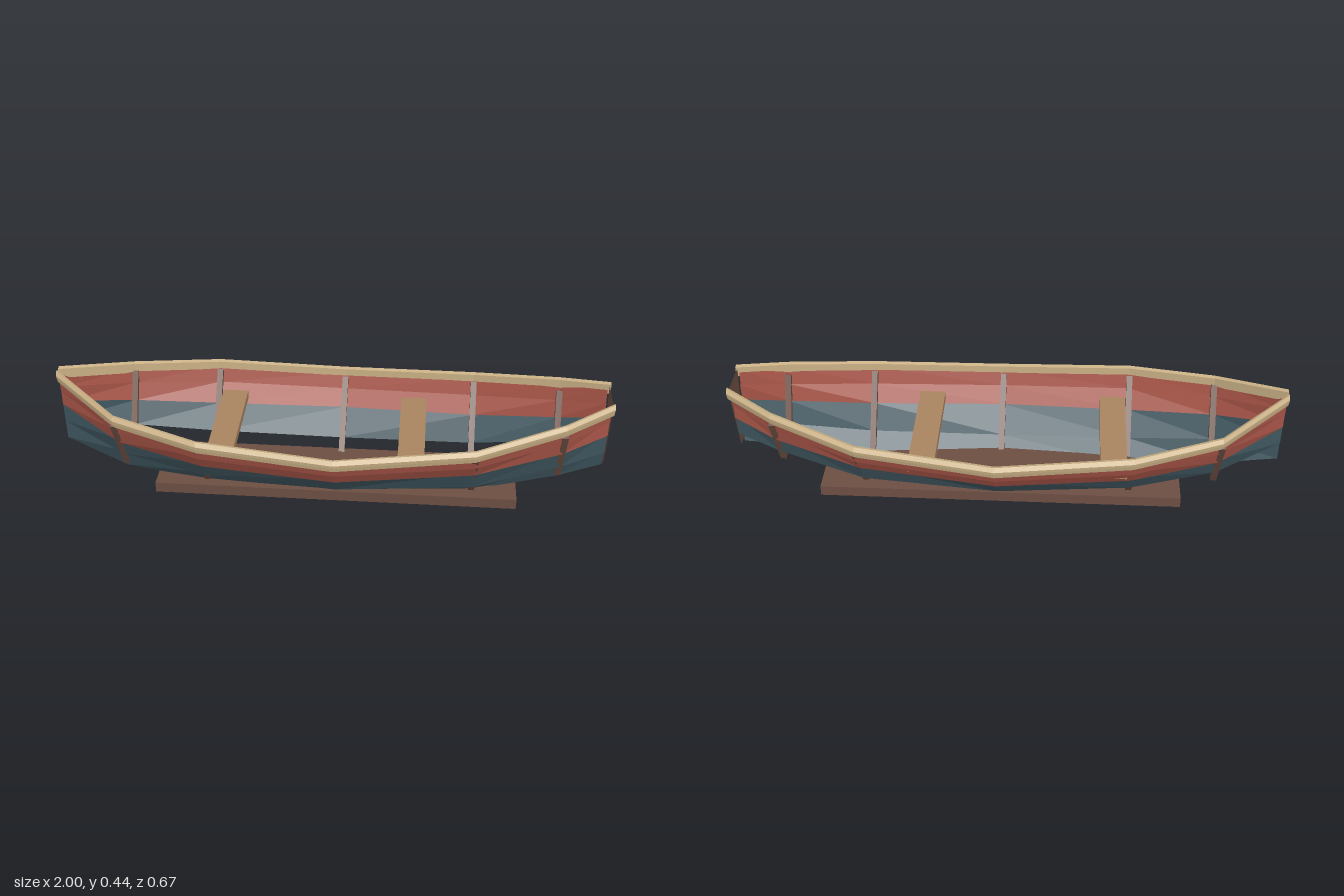
import * as THREE from 'three';

// Hull stations along x; each row is [z, y] from the top edge down to the keel edge
const stations = [
  { x: -0.995, p: [[0.012, 0.415], [0.010, 0.35], [0.008, 0.29], [0.004, 0.215], [0.001, 0.14]] },
  { x: -0.76, p: [[0.19, 0.345], [0.175, 0.285], [0.145, 0.225], [0.10, 0.145], [0.055, 0.065]] },
  { x: -0.45, p: [[0.285, 0.315], [0.265, 0.25], [0.215, 0.185], [0.15, 0.10], [0.08, 0.028]] },
  { x: 0.03, p: [[0.318, 0.285], [0.297, 0.225], [0.252, 0.168], [0.172, 0.08], [0.08, 0.002]] },
  { x: 0.52, p: [[0.265, 0.315], [0.245, 0.25], [0.20, 0.19], [0.145, 0.10], [0.06, 0.028]] },
  { x: 0.83, p: [[0.16, 0.37], [0.145, 0.305], [0.122, 0.245], [0.085, 0.165], [0.045, 0.10]] },
  { x: 0.99, p: [[0.072, 0.41], [0.065, 0.35], [0.058, 0.29], [0.04, 0.205], [0.01, 0.135]] },
];

function mat(name, color, thin) {
  const m = new THREE.MeshStandardMaterial({ color, flatShading: true });
  m.name = name;
  if (thin) m.side = THREE.DoubleSide;
  return m;
}

// Skin a list of rings (arrays of Vector3); closed rings get end caps
function loft(rings, closed, flip) {
  const v = [];
  const tri = (a, b, c) => (flip ? [a, c, b] : [a, b, c]).forEach((q) => v.push(q.x, q.y, q.z));
  const quad = (a, b, c, d) => { tri(a, b, c); tri(a, c, d); };
  const n = rings[0].length;
  for (let i = 0; i < rings.length - 1; i++) {
    for (let j = 0; j < (closed ? n : n - 1); j++) {
      const k = (j + 1) % n;
      quad(rings[i][j], rings[i + 1][j], rings[i + 1][k], rings[i][k]);
    }
  }
  if (closed) {
    const a = rings[0], b = rings[rings.length - 1];
    for (let j = 1; j < n - 1; j++) {
      tri(a[0], a[j], a[j + 1]);
      tri(b[0], b[j + 1], b[j]);
    }
  }
  const g = new THREE.BufferGeometry();
  g.setAttribute('position', new THREE.Float32BufferAttribute(v, 3));
  g.computeVertexNormals();
  return g;
}

export function createModel() {
  const model = new THREE.Group();
  const red = mat('red paint', 0xa55346, true);
  const blue = mat('blue paint', 0x3f565f, true);
  const brown = mat('dark wood', 0x6c4e42, true);
  const tan = mat('bench wood', 0xa8835f);
  const cream = mat('rail wood', 0xc9b085);

  const add = (name, geometry, material) => {
    const m = new THREE.Mesh(geometry, material);
    m.name = name;
    model.add(m);
    return m;
  };
  const box = (name, material, w, h, d, x, y, z) =>
    add(name, new THREE.BoxGeometry(w, h, d), material).position.set(x, y, z);

  // Lapped plank between two hull rows, upper edge tucked behind the one above
  const plank = (name, row, s, material) => {
    const rings = stations.map(({ x, p }) => {
      const [z0, y0] = p[row], [z1, y1] = p[row + 1];
      const tuck = row ? Math.min(0.008, z0 * 0.3) : 0;
      return [
        new THREE.Vector3(x, y1, s * z1),
        new THREE.Vector3(x, y0 + (row ? 0.006 : 0), s * (z0 - tuck)),
      ];
    });
    add(name, loft(rings, false, s < 0), material);
  };

  // Rail swept along the hull's top edge; profile is [outward, up]
  const rail = (name, profile, s) => {
    const rings = stations.map(({ x, p }, i) => {
      const rx = i === 0 ? -1 : i === stations.length - 1 ? 1 : x;
      return profile.map(([o, u]) => new THREE.Vector3(rx, p[0][1] + u, s * (p[0][0] + o)));
    });
    add(name, loft(rings, true, s < 0), cream);
  };

  // Ribs: [x, top z, top y, bottom z, bottom y]
  const ribs = [
    [-0.76, 0.19, 0.33, 0.06, 0.085],
    [-0.45, 0.275, 0.30, 0.095, 0.055],
    [0.03, 0.307, 0.27, 0.115, 0.05],
    [0.52, 0.258, 0.30, 0.085, 0.055],
    [0.83, 0.155, 0.342, 0.05, 0.115],
  ];

  for (const s of [1, -1]) {
    const side = s > 0 ? 'left' : 'right';
    plank(side + 'SheerPlank', 0, s, red);
    plank(side + 'MiddlePlank', 1, s, red);
    plank(side + 'LowerPlank', 2, s, blue);
    if (s > 0) plank(side + 'BottomPlank', 3, s, blue);

    rail(side + 'Gunwale', [[0.014, -0.004], [0.016, 0.008], [0.006, 0.022], [-0.008, 0.018], [-0.008, -0.004]], s);
    rail(side + 'RubbingStrip', [[0.006, -0.022], [0.011, -0.004], [-0.004, -0.004], [-0.004, -0.022]], s);

    for (const [x, z0, y0, z1, y1] of ribs) {
      const length = Math.hypot(z0 - z1, y0 - y1);
      const rib = add(side + 'Rib', new THREE.BoxGeometry(0.022, length, 0.02), brown);
      rib.position.set(x, (y0 + y1) / 2, s * (z0 + z1) / 2);
      rib.rotation.x = s * Math.atan2(z0 - z1, y0 - y1);
    }
  }

  // Floor board and benches
  box('floorBoard', brown, 1.325, 0.04, 0.284, 0.022, 0.03, 0);
  box('frontBench', tan, 0.095, 0.03, 0.46, -0.387, 0.22, -0.003);
  box('rearBench', tan, 0.095, 0.03, 0.46, 0.297, 0.22, -0.003);

  // Transom: thin tapered plate closing the stern
  const shape = new THREE.Shape([[-0.075, 0.42], [-0.02, 0.14], [0.02, 0.14], [0.075, 0.42]]
    .map(([a, b]) => new THREE.Vector2(a, b)));
  const transom = add('transom', new THREE.ShapeGeometry(shape), brown);
  transom.rotation.y = Math.PI / 2;
  transom.position.x = 0.995;

  return model;
}
